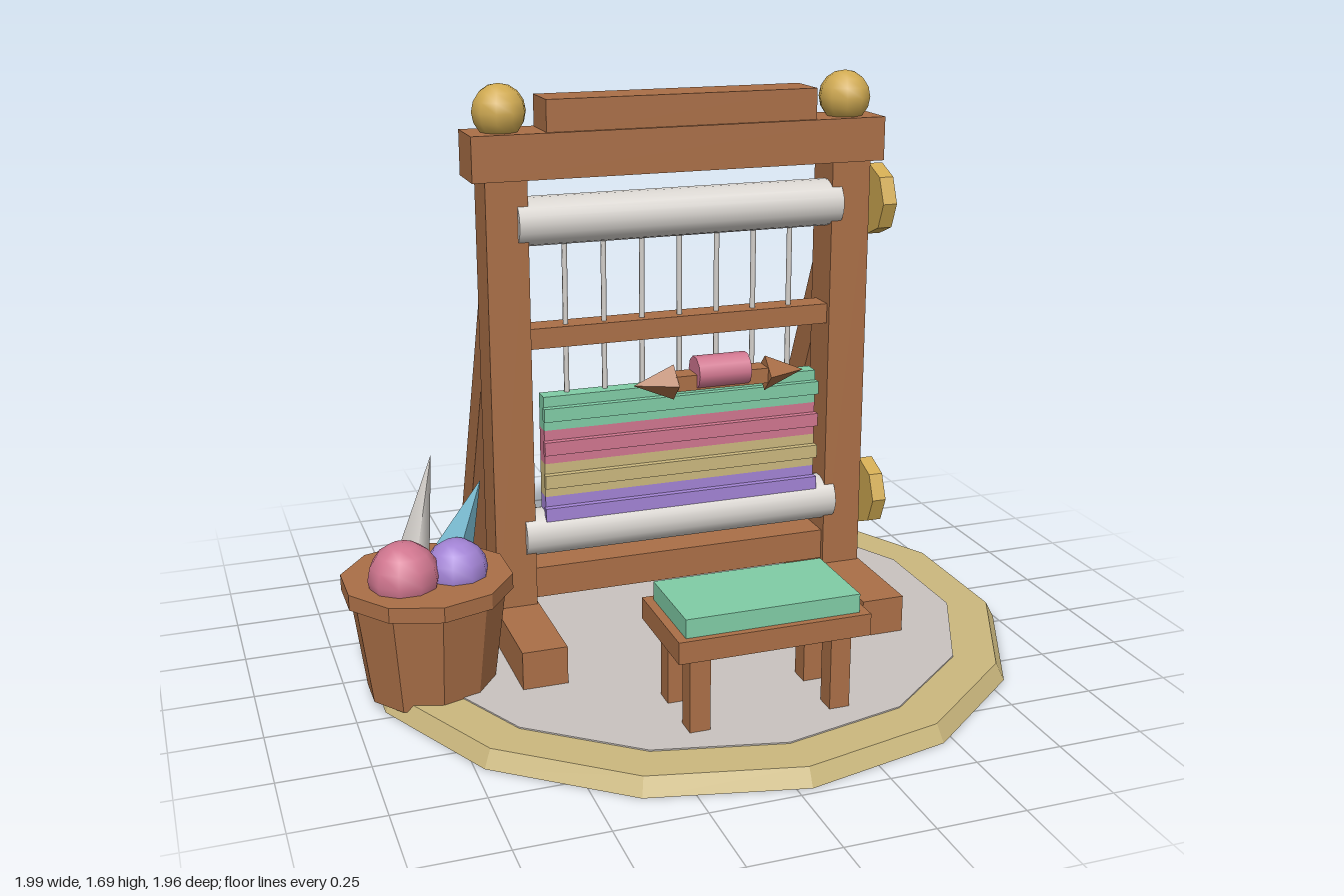
import * as THREE from 'three';

const mat = (name, color, flatShading = false) => {
  const m = new THREE.MeshStandardMaterial({ color });
  m.name = name;
  m.flatShading = flatShading;
  return m;
};

export function createModel() {
  const wood = mat('wood', 0xaa6f47, true);
  const straw = mat('straw', 0xcbb87e, true);
  const rugGrey = mat('rug grey', 0xc9c3bf, true);
  const linen = mat('linen', 0xd8d4cf);
  const gold = mat('gold', 0xd0aa52);
  const green = mat('green', 0x80cca6);
  const pink = mat('pink', 0xd0768f);
  const purple = mat('purple', 0xa283d4);
  const blue = mat('blue', 0x7fc3da, true);

  const model = new THREE.Group();
  model.name = 'weavingLoom';
  const CX = 0.04; // loom centre line

  const group = (name) => {
    const g = new THREE.Group();
    g.name = name;
    model.add(g);
    return g;
  };
  const add = (parent, name, geo, material, x, y, z) => {
    const m = new THREE.Mesh(geo, material);
    m.name = name;
    m.position.set(x, y, z);
    parent.add(m);
    return m;
  };
  const box = (parent, name, material, w, h, d, x, y, z) =>
    add(parent, name, new THREE.BoxGeometry(w, h, d), material, x, y, z);
  // Cylinder lying along x
  const bar = (parent, name, material, r, len, sides, x, y, z) => {
    // separate normals so few-sided discs keep crisp edges
    let geo = new THREE.CylinderGeometry(r, r, len, sides).rotateZ(Math.PI / 2);
    if (sides <= 8) {
      geo = geo.toNonIndexed();
      geo.computeVertexNormals();
    }
    return add(parent, name, geo, material, x, y, z);
  };

  // Round base with an inset rug
  const base = group('base');
  add(base, 'baseRim', new THREE.CylinderGeometry(0.955, 0.98, 0.049, 14), straw, CX, 0.0255, 0);
  add(base, 'rug', new THREE.CylinderGeometry(0.83, 0.83, 0.054, 14), rugGrey, CX, 0.027, 0);

  // Side frames, mirrored
  const frame = group('frame');
  for (const s of [-1, 1]) {
    const x = CX + s * 0.52;
    box(frame, 'foot', wood, 0.13, 0.115, 0.78, x, 0.1075, -0.076);
    box(frame, 'post', wood, 0.12, 1.3, 0.13, x, 0.78, -0.058);
    box(frame, 'brace', wood, 0.1, 1.04, 0.104, x, 0.61, -0.306).rotation.x = 0.418;
    add(frame, 'finial', new THREE.SphereGeometry(0.077, 10, 8), gold, x, 1.612, -0.058);
  }
  box(frame, 'topBeam', wood, 1.235, 0.128, 0.155, CX, 1.493, -0.058);
  box(frame, 'crestBeam', wood, 0.807, 0.1, 0.138, CX, 1.597, -0.06);
  box(frame, 'middleBeam', wood, 0.94, 0.06, 0.08, CX, 0.97, -0.05);
  box(frame, 'lowerBeam', wood, 0.94, 0.093, 0.1, CX, 0.226, -0.058);

  // Rollers with octagonal knobs
  const rollers = group('rollers');
  for (const y of [0.377, 1.305]) {
    bar(rollers, 'roller', linen, 0.07, 0.98, 18, CX, y, -0.04);
    bar(rollers, 'knob', gold, 0.107, 0.044, 8, 0.661, y, -0.042);
  }

  // Warp threads
  const threads = group('warpThreads');
  for (let i = -3; i <= 3; i++) {
    add(threads, 'thread', new THREE.CylinderGeometry(0.008, 0.008, 0.93, 6), linen, CX + i * 0.1153, 0.84, -0.04);
  }

  // Striped cloth with a raised ridge on each band
  const cloth = group('cloth');
  [green, pink, straw, purple].forEach((m, i) => {
    const y = 0.746 - i * 0.1015;
    box(cloth, 'band', m, 0.85, 0.1015, 0.05, CX, y, -0.031);
    box(cloth, 'ridge', m, 0.857, 0.04, 0.02, CX, y, 0.004);
  });

  // Shuttle with pointed ends and a wound bobbin
  const shuttle = group('shuttle');
  box(shuttle, 'shuttleBody', wood, 0.285, 0.045, 0.065, 0.125, 0.828, 0.066);
  for (const s of [-1, 1]) {
    const tip = new THREE.ConeGeometry(0.053, 0.122, 4).rotateZ(-s * Math.PI / 2);
    add(shuttle, 'shuttleTip', tip, wood, 0.127 + s * 0.203, 0.827, 0.067);
  }
  bar(shuttle, 'bobbin', pink, 0.049, 0.16, 10, 0.126, 0.852, 0.075);

  // Stool with cushion
  const stool = group('stool');
  box(stool, 'seat', wood, 0.546, 0.062, 0.304, CX, 0.304, 0.578);
  box(stool, 'cushion', green, 0.495, 0.053, 0.262, CX, 0.3615, 0.58);
  for (const sx of [-1, 1]) {
    for (const sz of [-1, 1]) {
      box(stool, 'stoolLeg', wood, 0.058, 0.225, 0.06, CX + sx * 0.202, 0.162, 0.58 + sz * 0.088);
    }
  }

  // Basket of yarn
  const basket = group('basket');
  add(basket, 'basketBody', new THREE.CylinderGeometry(0.22, 0.18, 0.3, 10), wood, -0.77, 0.177, 0.14);
  add(basket, 'basketRim', new THREE.CylinderGeometry(0.24, 0.24, 0.044, 10), wood, -0.77, 0.342, 0.14);
  add(basket, 'pinkYarn', new THREE.SphereGeometry(0.1, 10, 8), pink, -0.842, 0.387, 0.19);
  add(basket, 'purpleYarn', new THREE.SphereGeometry(0.09, 10, 8), purple, -0.69, 0.375, 0.162);

  // Pointed spindles leaning out of the basket
  const spindle = (name, m, r, from, to) => {
    const a = new THREE.Vector3(...from);
    const d = new THREE.Vector3(...to).sub(a);
    const len = d.length();
    const geo = new THREE.ConeGeometry(r, len, 4).translate(0, len / 2, 0);
    add(basket, name, geo, m, ...from).quaternion.setFromUnitVectors(new THREE.Vector3(0, 1, 0), d.normalize());
  };
  spindle('paleSpindle', linen, 0.045, [-0.79, 0.41, 0.07], [-0.728, 0.683, 0.053]);
  spindle('blueSpindle', blue, 0.055, [-0.676, 0.41, 0.08], [-0.607, 0.62, 0.13]);

  return model;
}
